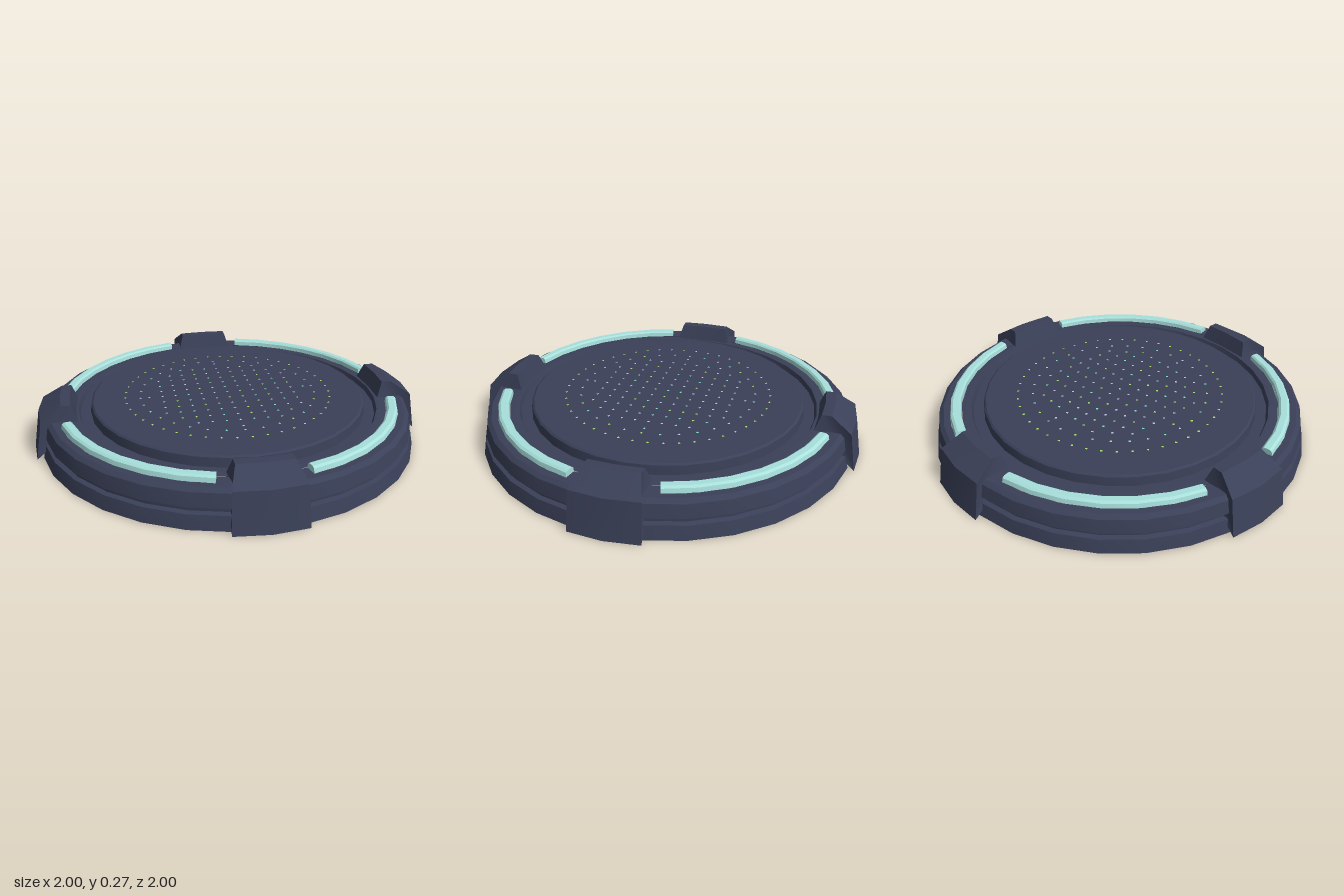
import * as THREE from 'three';
import { toCreasedNormals } from 'three/addons/utils/BufferGeometryUtils.js';

const mat = (name, color, side = THREE.DoubleSide) => {
  const m = new THREE.MeshStandardMaterial({ color, side });
  m.name = name;
  return m;
};
const rad = THREE.MathUtils.degToRad;

export function createModel() {
  const root = new THREE.Group();
  root.name = 'roundPlatform';
  const navy = mat('navy metal', 0x3a4058);
  const glow = mat('pale teal light', 0xa8e0dc);
  const dotMats = [
    mat('lime dot', 0xa4e060, THREE.FrontSide),
    mat('teal dot', 0x78e0c4, THREE.FrontSide),
    mat('lavender dot', 0xb8c4e4, THREE.FrontSide),
  ];

  const add = (parent, name, geo, material) => {
    const mesh = new THREE.Mesh(geo, material);
    mesh.name = name;
    parent.add(mesh);
    return mesh;
  };
  // Revolved shell strip between two angles in degrees, measured from +z
  const arc = (profile, from, to, segs) => toCreasedNormals(
    new THREE.LatheGeometry(profile.map(p => new THREE.Vector2(...p)), segs, rad(from), rad(to - from)), 0.4);

  // Raised floor disc with the channel around it
  add(root, 'floorDisc', arc([
    [0.82, 0.19], [0.80, 0.19], [0.79, 0.165], [0.735, 0.165],
    [0.73, 0.212], [0.72, 0.22], [0, 0.22],
  ], 0, 360, 32), navy);

  // Rim quarters: grooved outer wall, inner ledge and a light strip
  const outerWall = [[1.0, 0], [0.985, 0.07], [0.962, 0.076], [0.962, 0.096],
    [0.98, 0.102], [0.967, 0.17], [0.945, 0.187], [0.91, 0.187]];
  const ledge = [[0.85, 0.187], [0.82, 0.19], [0.80, 0.19]];
  const seat = [[0.91, 0.187], [0.85, 0.187]];
  const strip = [[0.91, 0.187], [0.905, 0.209], [0.893, 0.217], [0.862, 0.217], [0.853, 0.209], [0.85, 0.187]];
  const capShape = new THREE.Shape(strip.map(p => new THREE.Vector2(...p)));

  // Corner block: rows of [radius, height, half width], three points across each
  const rows = [[1.02, 0, 0.175], [0.985, 0.2, 0.17], [0.88, 0.27, 0.135],
    [0.83, 0.27, 0.135], [0.80, 0.185, 0.16]];
  const blockGeometry = () => {
    const pos = [], idx = [];
    rows.forEach(([r, y, w], i) => {
      const bulge = i < 2 ? 0.018 : 0.008;
      for (const s of [-1, 0, 1]) pos.push(s * w, y, r + (s ? 0 : bulge));
    });
    for (let i = 0; i < rows.length - 1; i++) {
      for (let k = 0; k < 2; k++) {
        const a = i * 3 + k, b = a + 1, c = a + 3, d = a + 4;
        idx.push(a, b, d, a, d, c);
      }
    }
    for (let i = 1; i < rows.length - 1; i++) { // side walls
      idx.push(0, i * 3, i * 3 + 3);
      idx.push(2, i * 3 + 5, i * 3 + 2);
    }
    const g = new THREE.BufferGeometry();
    g.setAttribute('position', new THREE.Float32BufferAttribute(pos, 3));
    g.setIndex(idx);
    return toCreasedNormals(g, 0.4);
  };

  for (let q = 0; q < 4; q++) {
    const quarter = new THREE.Group();
    quarter.name = 'rimQuarter';
    quarter.rotation.y = q * Math.PI / 2;
    add(quarter, 'outerWall', arc(outerWall, -36, 36, 6), navy);
    add(quarter, 'innerLedge', arc(ledge, -36, 36, 6), navy);
    add(quarter, 'lightStrip', arc(strip, -31, 31, 6), glow);
    for (const s of [-1, 1]) {
      add(quarter, 'stripSeat', arc(seat, s * 33.5 - 2.5, s * 33.5 + 2.5, 1), navy);
      const cap = add(quarter, 'stripEnd', new THREE.ShapeGeometry(capShape), glow);
      cap.rotation.y = rad(s * 31) - Math.PI / 2;
    }
    const block = add(quarter, 'cornerBlock', blockGeometry(), navy);
    block.rotation.y = Math.PI / 4;
    root.add(quarter);
  }

  // Tiny floor dots: staggered grid inside two rings
  const spots = [];
  for (let row = -8; row <= 8; row++) {
    for (let col = -5; col <= 5; col++) {
      const x = col * 0.1 + (row % 2 ? 0.05 : 0), z = row * 0.05;
      if (Math.hypot(x, z) < 0.43) spots.push([x, z]);
    }
  }
  for (const [r, n] of [[0.47, 32], [0.55, 46]]) {
    for (let i = 0; i < n; i++) {
      const a = i / n * Math.PI * 2;
      spots.push([r * Math.sin(a), r * Math.cos(a)]);
    }
  }
  const dots = new THREE.Group();
  dots.name = 'floorDots';
  const dotGeo = new THREE.PlaneGeometry(0.011, 0.011).rotateX(-Math.PI / 2);
  spots.forEach(([x, z], i) => {
    const outer = Math.hypot(x, z) > 0.5;
    const dot = add(dots, 'floorDot', dotGeo, dotMats[outer ? 0 : (i * 7 + (i >> 2)) % 3]);
    dot.position.set(x, 0.2215, z);
  });
  root.add(dots);
  return root;
}
